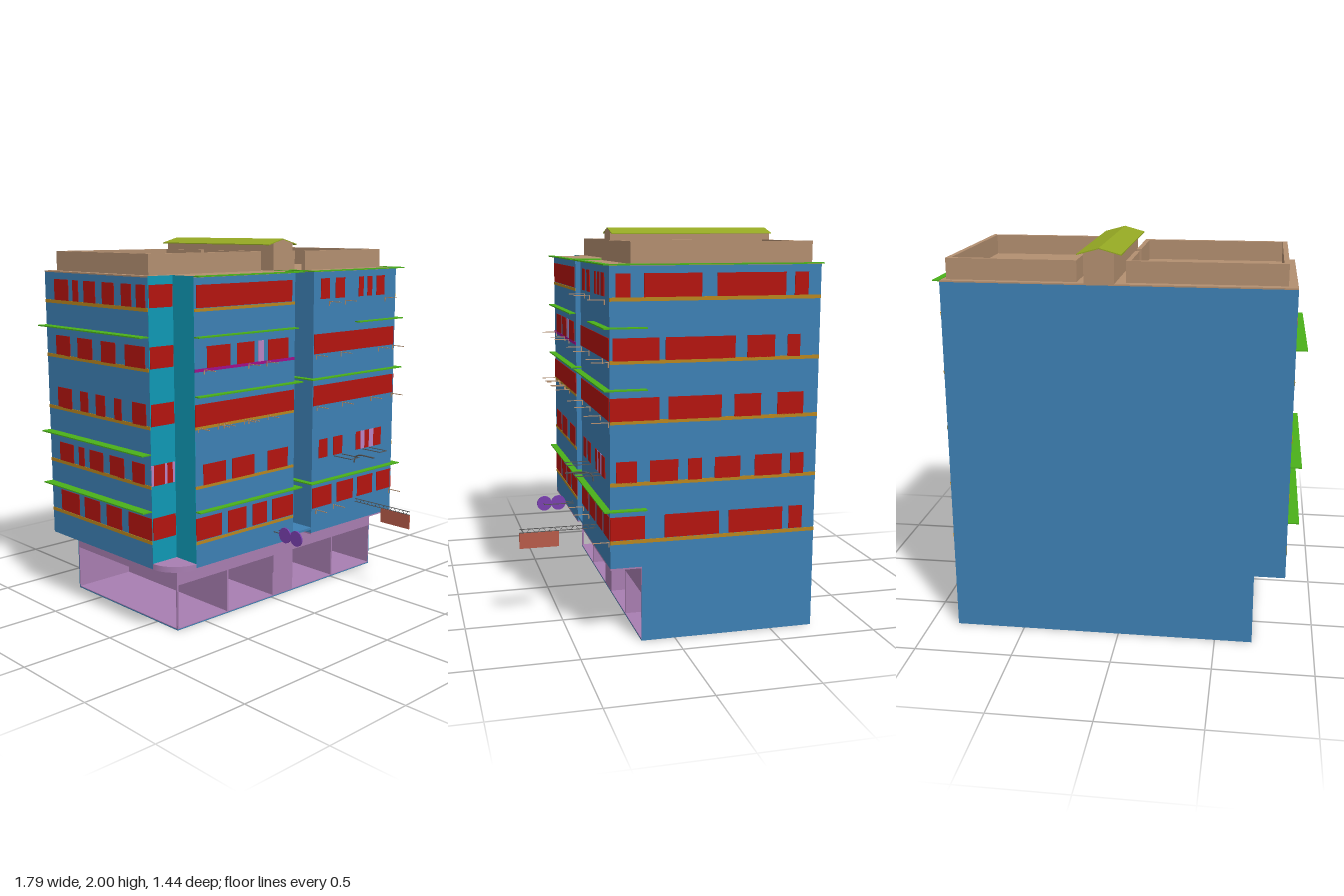
import * as THREE from 'three';

const mats = {};
const palette = {
  blue: 0x3d80b4, purple: 0xa87eb1, tan: 0xb38f70, green: 0x4bb01a, olive: 0x95a823, gold: 0xb8861f,
  red: 0xb4140f, teal: 0x0f99b5, brick: 0xb85c4a, violet: 0x7a40b0, pink: 0xb884c4, magenta: 0xa0108a, dark: 0x555555,
};
for (const k in palette) mats[k] = new THREE.MeshStandardMaterial({ color: palette[k], side: THREE.DoubleSide });

// Box given by its limits on each axis
function box(parent, name, color, x0, x1, y0, y1, z0, z1) {
  const m = new THREE.Mesh(new THREE.BoxGeometry(x1 - x0, y1 - y0, z1 - z0), mats[color]);
  m.position.set((x0 + x1) / 2, (y0 + y1) / 2, (z0 + z1) / 2);
  m.name = name;
  parent.add(m);
  return m;
}

// Thin panel on an outer wall; a0..a1 runs along the wall
const T = 0.003;
function panel(parent, name, color, wall, a0, a1, y0, y1) {
  const at = { front: 0.325, recess: 0.165, corner: 0.17, right: 0.855, left: -0.845, cornerSide: -0.69 }[wall];
  if (wall === 'right' || wall === 'left' || wall === 'cornerSide') box(parent, name, color, at - T, at + T, y0, y1, a0, a1);
  else box(parent, name, color, a0, a1, y0, y1, at - T, at + T);
}

function group(parent, name) {
  const g = new THREE.Group();
  g.name = name;
  parent.add(g);
  return g;
}

// Floor plan with the central recess and the notched corner
function plan(color, name, y0, y1) {
  const pts = [[-0.845, -0.72], [0.855, -0.72], [0.855, 0.325], [0.155, 0.325], [0.155, 0.165], [0.01, 0.165],
    [0.01, 0.325], [-0.69, 0.325], [-0.69, 0.17], [-0.845, 0.17]];
  const shape = new THREE.Shape(pts.map(([x, z]) => new THREE.Vector2(x, -z)));
  const geo = new THREE.ExtrudeGeometry(shape, { depth: y1 - y0, bevelEnabled: false });
  geo.rotateX(-Math.PI / 2);
  const m = new THREE.Mesh(geo, mats[color]);
  m.position.y = y0;
  m.name = name;
  return m;
}

export function createModel() {
  const root = new THREE.Group();
  root.name = 'building';

  // Upper storeys and roof deck
  root.add(plan('blue', 'upperStoreys', 0.38, 1.825), plan('tan', 'roofDeck', 1.825, 1.832));
  box(root, 'recessFloor', 'blue', 0.01, 0.155, 0.4, 0.412, 0.165, 0.325);
  box(root, 'overhangSoffit', 'purple', -0.69, 0.01, 0.372, 0.38, 0.17, 0.325);
  box(root, 'overhangSoffit', 'purple', 0.155, 0.855, 0.372, 0.38, 0.17, 0.325);
  box(root, 'sideSoffit', 'blue', -0.845, -0.69, 0.372, 0.38, -0.72, 0.17);

  // Open garage level
  const garage = group(root, 'garage');
  box(garage, 'garageBase', 'blue', -0.69, 0.855, 0, 0.006, -0.72, 0.17);
  box(garage, 'garageFloor', 'purple', -0.69, 0.85, 0.006, 0.01, -0.715, 0.17);
  box(garage, 'backWall', 'blue', -0.69, 0.855, 0, 0.38, -0.72, -0.715);
  box(garage, 'backLining', 'purple', -0.69, 0.85, 0.01, 0.38, -0.715, -0.71);
  box(garage, 'sideWall', 'blue', 0.85, 0.855, 0, 0.38, -0.72, 0.169);
  box(garage, 'sideLining', 'purple', 0.846, 0.85, 0.01, 0.38, -0.71, 0.17);
  box(garage, 'frontLintel', 'purple', -0.69, 0.855, 0.245, 0.4, 0.16, 0.17);
  box(garage, 'sideLintel', 'purple', -0.69, -0.68, 0.245, 0.38, -0.715, 0.16);
  box(garage, 'cornerPost', 'purple', -0.69, -0.68, 0.01, 0.245, 0.16, 0.17);
  for (const [a, b] of [[-0.34, -0.33], [0.01, 0.017], [0.163, 0.17], [0.502, 0.512]])
    box(garage, 'divider', 'purple', a, b, 0.01, 0.38, -0.71, 0.169);
  box(garage, 'centralWall', 'purple', 0.017, 0.163, 0.01, 0.245, 0.16, 0.17);

  // Round balcony slab and the coloured walls of the notched corner
  const slab = new THREE.Mesh(new THREE.CylinderGeometry(0.155, 0.155, 0.03, 16, 1, false, -Math.PI / 2, Math.PI / 2), mats.purple);
  slab.position.set(-0.69, 0.386, 0.17);
  slab.name = 'cornerBalcony';
  root.add(slab);
  box(root, 'cornerWall', 'teal', -0.845, -0.69, 0.4, 1.832, 0.17, 0.171);
  box(root, 'cornerSideWall', 'teal', -0.691, -0.69, 0.4, 1.832, 0.17, 0.325);

  // Windows, floor by floor from the bottom
  const rows = [[0.52, 0.635], [0.8, 0.905], [1.1, 1.21], [1.385, 1.492], [1.68, 1.79]];
  const windows = {
    front: [
      [[-0.69, -0.52], [-0.475, -0.345], [-0.3, -0.195], [-0.155, 0.005], [0.16, 0.32], [0.365, 0.505], [0.545, 0.68], [0.72, 0.845]],
      [[-0.64, -0.49], [-0.445, -0.29], [-0.19, -0.04], [0.21, 0.28], [0.33, 0.405], [0.525, 0.565], [0.6, 0.64], [0.68, 0.75]],
      [[-0.69, 0.005], [0.16, 0.845]],
      [[-0.61, -0.455], [-0.41, -0.29], [-0.19, -0.04], [0.16, 0.845]],
      [[-0.675, -0.015], [0.21, 0.28], [0.33, 0.405], [0.525, 0.565], [0.6, 0.64], [0.68, 0.75]],
    ],
    right: [
      [[0.155, 0.325], [-0.22, 0.055], [-0.55, -0.27], [-0.655, -0.585]],
      [[0.195, 0.295], [-0.01, 0.13], [-0.13, -0.06], [-0.325, -0.195], [-0.54, -0.4], [-0.655, -0.585]],
      [[0.085, 0.325], [-0.225, 0.04], [-0.425, -0.29], [-0.645, -0.51]],
      [[0.085, 0.31], [-0.29, 0.055], [-0.49, -0.35], [-0.62, -0.555]],
      [[0.225, 0.295], [-0.12, 0.16], [-0.54, -0.195], [-0.655, -0.585]],
    ],
    left: [
      [[-0.63, -0.46], [-0.41, -0.27], [-0.21, -0.08], [-0.02, 0.17]],
      [[-0.63, -0.5], [-0.45, -0.4], [-0.35, -0.23], [-0.17, -0.05], [0.02, 0.12]],
      [[-0.63, -0.5], [-0.42, -0.35], [-0.28, -0.2], [-0.12, -0.06], [0.03, 0.14]],
      [[-0.63, -0.5], [-0.43, -0.3], [-0.22, -0.1], [-0.02, 0.14]],
      [[-0.63, -0.5], [-0.46, -0.41], [-0.36, -0.26], [-0.2, -0.1], [-0.04, 0.04], [0.08, 0.15]],
    ],
    recess: [[[0.045, 0.12]], [], [[0.045, 0.12]], [[0.045, 0.12]], [[0.045, 0.12]]],
    corner: [[[-0.84, -0.695]], [[-0.83, -0.76], [-0.745, -0.71]], [[-0.84, -0.695]], [[-0.84, -0.695]], [[-0.84, -0.695]]],
  };
  const glass = group(root, 'windows');
  for (const wall in windows)
    windows[wall].forEach((spans, i) => spans.forEach(([a, b]) => panel(glass, 'window', 'red', wall, a, b, ...rows[i])));
  for (const [wall, a, b, i] of [['front', -0.26, -0.22, 3], ['front', 0.565, 0.6, 1], ['front', 0.64, 0.68, 1],
    ['corner', -0.845, -0.83, 1], ['corner', -0.76, -0.745, 1], ['corner', -0.71, -0.695, 1]])
    panel(glass, 'pinkPanel', 'pink', wall, a, b, ...rows[i]);

  // Sill bands below the windows
  const sills = group(root, 'sillBands');
  [0.5, 0.785, 1.085, 1.37, 1.662].forEach((y, i) => {
    panel(sills, 'frontSill', i === 3 ? 'magenta' : 'gold', 'front', -0.69, 0.005, y, y + 0.015);
    panel(sills, 'rightSill', 'gold', 'right', -0.72, 0.325, y, y + 0.018);
    panel(sills, 'leftSill', 'gold', 'left', -0.72, 0.17, y, y + 0.018);
  });

  // Green ledges
  const ledges = group(root, 'ledges');
  const ledge = (y, x0, x1, z0, z1) => box(ledges, 'ledge', 'green', x0, x1, y - 0.003, y + 0.003, z0, z1);
  for (const y of [0.67, 1.25, 1.54, 1.831]) {
    ledge(y, -0.69, y === 1.54 ? 0.005 : 0.045, 0.325, 0.36);
    ledge(y, y === 1.54 ? 0.5 : 0.12, 0.89, 0.325, 0.36);
    ledge(y, 0.855, 0.89, y > 1.8 ? -0.72 : 0.15, 0.325);
    if (y !== 1.54) {
      ledge(y, 0.01, 0.045, 0.17, 0.325);
      ledge(y, 0.12, 0.155, 0.17, 0.325);
    }
  }
  for (const y of [0.67, 0.96, 1.54]) ledge(y, -0.9, -0.845, -0.72, 0.17);

  // Roof parapets, each with a doorway gap beside the ridge
  const roof = group(root, 'roofParapets');
  const wall = (x0, x1, z0, z1) => box(roof, 'parapet', 'tan', x0, x1, 1.83, 1.935, z0, z1);
  wall(-0.8, -0.04, -0.67, -0.645);
  wall(-0.8, -0.04, 0.095, 0.12);
  wall(-0.8, -0.775, -0.645, 0.095);
  wall(-0.063, -0.04, -0.645, -0.34);
  wall(-0.063, -0.04, -0.27, 0.095);
  wall(0.195, 0.832, -0.68, -0.657);
  wall(0.195, 0.832, 0.195, 0.22);
  wall(0.808, 0.832, -0.657, 0.195);
  wall(0.195, 0.22, -0.657, 0.12);

  // Central stair house with its ridge roof
  const extrudeZ = (name, color, pts) => {
    const geo = new THREE.ExtrudeGeometry(new THREE.Shape(pts.map(p => new THREE.Vector2(...p))), { depth: 0.885, bevelEnabled: false });
    const m = new THREE.Mesh(geo, mats[color]);
    m.position.z = -0.72;
    m.name = name;
    root.add(m);
  };
  extrudeZ('stairHouse', 'tan', [[0.01, 1.83], [0.155, 1.83], [0.155, 1.976], [0.081, 1.996], [0.01, 1.976]]);
  extrudeZ('ridgeRoof', 'olive', [[-0.025, 1.966], [0.081, 1.995], [0.187, 1.966], [0.187, 1.971], [0.081, 2], [-0.025, 1.971]]);

  // Hanging sign on a lattice arm
  const sign = group(root, 'hangingSign');
  box(sign, 'signBoard', 'brick', 0.526, 0.534, 0.41, 0.49, 0.52, 0.72);
  for (const y of [0.49, 0.508]) box(sign, 'armRail', 'dark', 0.528, 0.532, y, y + 0.003, 0.325, 0.72);
  for (let i = 0; i < 14; i++) {
    const m = box(sign, 'armBrace', 'dark', 0.529, 0.531, 0.489, 0.511, 0.338 + i * 0.028, 0.34 + i * 0.028);
    m.rotation.x = i % 2 ? 0.7 : -0.7;
  }

  // Round signs on a bracket
  const discs = group(root, 'roundSigns');
  for (const z of [0.41, 0.49]) {
    const d = new THREE.Mesh(new THREE.CylinderGeometry(0.042, 0.042, 0.008, 24), mats.violet);
    d.rotation.z = Math.PI / 2;
    d.position.set(-0.14, 0.45, z);
    d.name = 'roundSign';
    discs.add(d);
  }
  box(discs, 'signBracket', 'dark', -0.142, -0.138, 0.45, 0.454, 0.325, 0.53);
  box(discs, 'signBracketSide', 'dark', -0.138, -0.1, 0.45, 0.454, 0.492, 0.496);
  box(discs, 'signBracketReturn', 'dark', -0.104, -0.1, 0.45, 0.454, 0.325, 0.496);

  // Curved lamp arm
  const arm = new THREE.CatmullRomCurve3([[0.73, 0.335], [0.76, 0.34], [0.777, 0.365], [0.78, 0.48]].map(([y, z]) => new THREE.Vector3(0.505, y, z)));
  const lamp = new THREE.Mesh(new THREE.TubeGeometry(arm, 16, 0.004, 6), mats.dark);
  lamp.name = 'lampArm';
  root.add(lamp);

  // Drying frames and small wall pegs
  const rails = group(root, 'wallFittings');
  for (const [x0, x1] of [[0.335, 0.405], [0.59, 0.65]]) {
    for (const x of [x0, x1]) box(rails, 'frameArm', 'dark', x - 0.002, x + 0.002, 0.793, 0.797, 0.325, 0.455);
    box(rails, 'frameBar', 'dark', x0, x1, 0.793, 0.797, 0.451, 0.455);
  }
  const pegs = [[1.64, [0.28, 0.41, 0.76]], [1.355, [-0.63, -0.33, -0.2, 0.18, 0.38, 0.71, 0.84]],
    [1.07, [-0.67, -0.54, -0.5, -0.36, -0.33, -0.19, 0.19, 0.4, 0.65, 0.84]], [0.485, [0.19, 0.34, 0.84]]];
  for (const [y, xs] of pegs)
    for (const x of xs) {
      box(rails, 'peg', 'tan', x - 0.002, x + 0.002, y, y + 0.025, 0.325, 0.33);
      box(rails, 'pegArm', 'tan', x - 0.002, x + 0.002, y + 0.022, y + 0.026, 0.325, 0.41);
    }
  return root;
}
